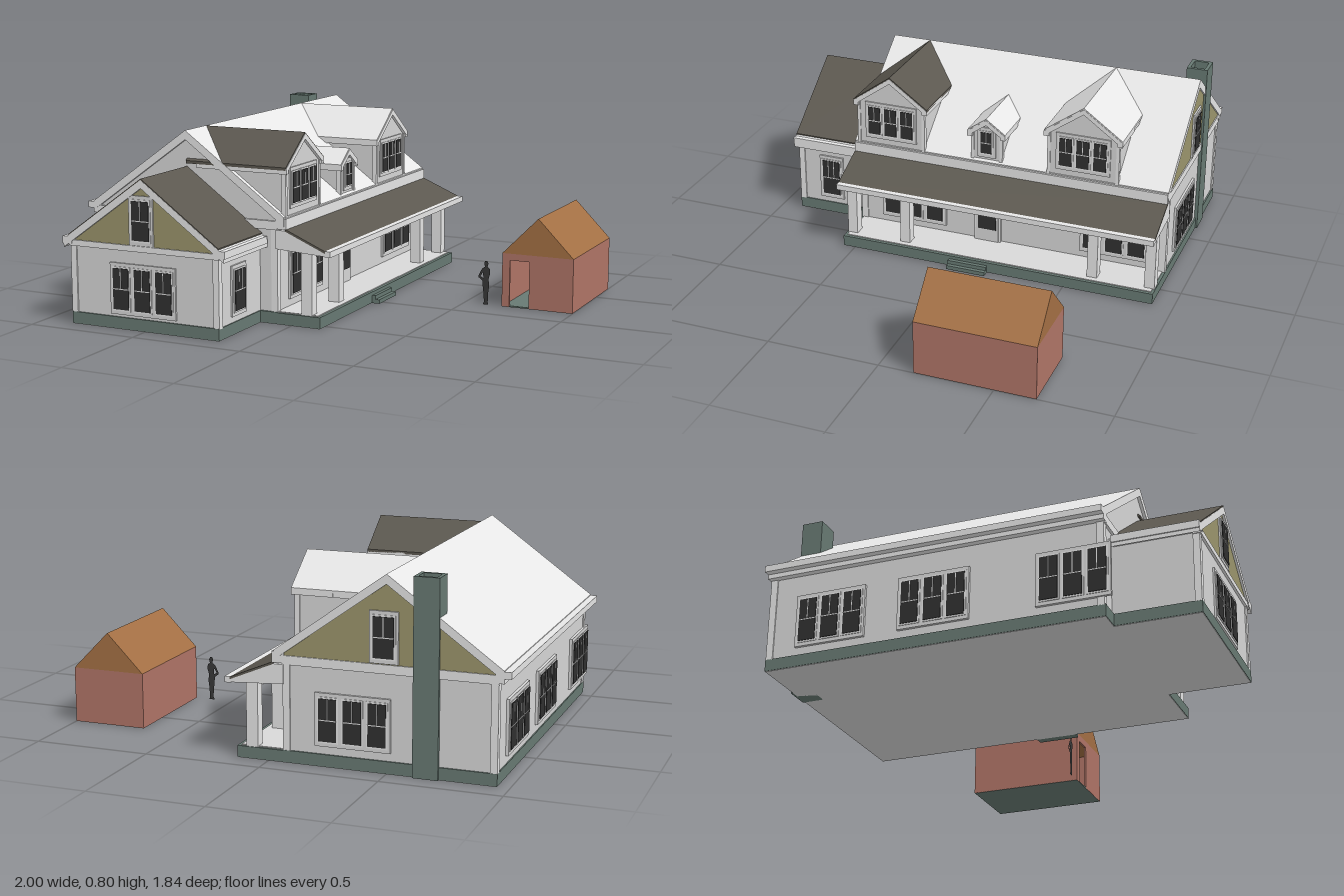
import * as THREE from 'three';

const mat = (name, color) => Object.assign(new THREE.MeshStandardMaterial({ color }), { name });
const M = {
  trim: mat('white trim', 0xe8e8e8),
  wall: mat('pale wall', 0xd8d8d8),
  dark: mat('dark shingle', 0x5c5850),
  stone: mat('green stone', 0x687a73),
  olive: mat('olive siding', 0x9c966d),
  glass: mat('dark glass', 0x303030),
  brick: mat('red brick', 0xb07567),
  brown: mat('brown roof', 0xa47044),
};
const figureMat = mat('figure grey', 0x383838);
figureMat.side = THREE.DoubleSide;
const SLOPE = 0.72;

function add(parent, name, geo, material) {
  const m = new THREE.Mesh(geo, material);
  m.name = name;
  parent.add(m);
  return m;
}
// box given by its min and max on each axis
function box(parent, name, material, x0, x1, y0, y1, z0, z1) {
  const m = add(parent, name, new THREE.BoxGeometry(x1 - x0, y1 - y0, z1 - z0), material);
  m.position.set((x0 + x1) / 2, (y0 + y1) / 2, (z0 + z1) / 2);
  return m;
}
const shapeOf = pts => new THREE.Shape(pts.map(p => new THREE.Vector2(p[0], p[1])));
// outline in x-y pushed from z0 to z1
function prism(parent, name, material, pts, z0, z1) {
  const shape = pts.isShape ? pts : shapeOf(pts);
  const geo = new THREE.ExtrudeGeometry(shape, { depth: z1 - z0, bevelEnabled: false });
  geo.translate(0, 0, z0);
  return add(parent, name, geo, material);
}
// gable roof shell with vertical thickness t
function chevron(parent, name, material, cx, ridge, half, t, z0, z1) {
  const e = ridge - half * SLOPE;
  return prism(parent, name, material, [[cx - half, e], [cx - half, e - t], [cx, ridge - t],
    [cx + half, e - t], [cx + half, e], [cx, ridge]], z0, z1);
}
// walls with a gable on top
function gableBody(parent, name, material, x0, x1, y0, ridge, cx, z0, z1) {
  prism(parent, name, material, [[x0, y0], [x1, y0], [x1, ridge - (x1 - cx) * SLOPE],
    [cx, ridge], [x0, ridge - (cx - x0) * SLOPE]], z0, z1);
}
// window of n sashes, facing +z before turning
function windowUnit(parent, name, n, w, h, pitch, x, y, z, turn = 0, bars = 1) {
  const g = new THREE.Group();
  g.name = name;
  g.position.set(x, y, z);
  g.rotation.y = turn;
  parent.add(g);
  const W = (n - 1) * pitch + w + 0.034;
  box(g, 'casing', M.wall, -W / 2, W / 2, -h / 2 - 0.022, h / 2 + 0.022, -0.005, 0.007);
  for (let i = 0; i < n; i++) {
    const c = (i - (n - 1) / 2) * pitch;
    box(g, 'sashFrame', M.trim, c - w / 2 - 0.007, c + w / 2 + 0.007, -h / 2 - 0.007, h / 2 + 0.007, 0, 0.010);
    box(g, 'pane', M.glass, c - w / 2, c + w / 2, -h / 2, h / 2, 0.005, 0.013);
    box(g, 'meetingRail', M.trim, c - w / 2, c + w / 2, -0.002, 0.002, 0.01, 0.015);
    for (let b = 1; b <= bars; b++) {
      const bx = c - w / 2 + w * b / (bars + 1);
      box(g, 'muntin', M.trim, bx - 0.0015, bx + 0.0015, 0, h / 2, 0.01, 0.015);
    }
  }
}

function mainHouse(root) {
  const g = new THREE.Group();
  g.name = 'mainHouse';
  root.add(g);
  box(g, 'foundation', M.stone, -0.95, -0.065, 0.002, 0.052, -0.907, 0.555);
  box(g, 'groundSlab', M.wall, -0.948, 0.133, 0, 0.004, -0.905, 0.553);
  gableBody(g, 'walls', M.wall, -0.945, -0.07, 0.05, 0.775, -0.5, -0.9, 0.545);
  chevron(g, 'roof', M.trim, -0.5, 0.8, 0.47, 0.04, -0.912, 0.558);
  // rear gable siding and band
  prism(g, 'rearGable', M.olive, [[-0.945, 0.44], [-0.055, 0.44], [-0.5, 0.762]], -0.905, -0.897);
  for (const [z0, z1] of [[-0.91, -0.89], [0.54, 0.556]])
    box(g, 'gableBand', M.trim, -0.95, -0.065, 0.405, 0.442, z0, z1);
  // eaves and gutters
  box(g, 'leftGutter', M.trim, -1, -0.965, 0.43, 0.458, -0.912, 0.558);
  box(g, 'leftSoffit', M.trim, -0.972, -0.935, 0.41, 0.45, -0.911, 0.557);
  box(g, 'rightFascia', M.trim, -0.072, -0.02, 0.41, 0.456, -0.911, 0.557);
  // corner boards
  for (const x of [-0.95, -0.095]) for (const z of [-0.906, 0.52])
    box(g, 'cornerBoard', M.trim, x, x + 0.03, 0.05, 0.42, z, z + 0.03);
  // windows
  for (const z of [-0.62, -0.165, 0.425])
    windowUnit(g, 'leftWindow', 3, 0.075, 0.185, 0.1, -0.95, 0.2, z, -Math.PI / 2);
  windowUnit(g, 'rearWindow', 3, 0.075, 0.175, 0.103, -0.36, 0.195, -0.903, Math.PI);
  windowUnit(g, 'rearGableWindow', 1, 0.085, 0.165, 0, -0.49, 0.55, -0.906, Math.PI);
  for (const z of [0.285, -0.67])
    windowUnit(g, 'porchWindow', 3, 0.075, 0.175, 0.103, -0.068, 0.195, z, Math.PI / 2);
  // front door
  box(g, 'doorFrame', M.trim, -0.075, -0.055, 0.05, 0.305, -0.14, -0.015);
  box(g, 'doorLeaf', M.wall, -0.06, -0.05, 0.055, 0.295, -0.13, -0.022);
  box(g, 'doorGlass', M.glass, -0.054, -0.046, 0.115, 0.29, -0.12, -0.035);
  // chimney with open top
  box(g, 'chimney', M.stone, -0.715, -0.61, 0, 0.76, -0.915, -0.82);
  box(g, 'flue', M.glass, -0.7, -0.625, 0.755, 0.765, -0.9, -0.835);
  for (const [x0, x1, z0, z1] of [[-0.715, -0.7, -0.915, -0.82], [-0.625, -0.61, -0.915, -0.82],
    [-0.7, -0.625, -0.915, -0.9], [-0.7, -0.625, -0.835, -0.82]])
    box(g, 'chimneyRim', M.stone, x0, x1, 0.76, 0.8, z0, z1);
}

function frontWing(root) {
  const g = new THREE.Group();
  g.name = 'frontWing';
  root.add(g);
  box(g, 'foundation', M.stone, -0.855, -0.145, 0.002, 0.052, 0.54, 0.907);
  box(g, 'groundSlab', M.wall, -0.853, -0.147, 0, 0.004, 0.54, 0.905);
  gableBody(g, 'walls', M.wall, -0.85, -0.15, 0.05, 0.62, -0.5, 0.54, 0.9);
  chevron(g, 'roof', M.dark, -0.5, 0.645, 0.36, 0.012, 0.54, 0.914);
  chevron(g, 'rake', M.trim, -0.5, 0.64, 0.385, 0.035, 0.54, 0.915);
  prism(g, 'gableSiding', M.olive, [[-0.845, 0.36], [-0.155, 0.36], [-0.5, 0.61]], 0.897, 0.905);
  box(g, 'gableBand', M.trim, -0.86, -0.14, 0.337, 0.362, 0.88, 0.911);
  for (const s of [-1, 1]) {
    const a = -0.5 + s * 0.345, b = -0.5 + s * 0.39;
    box(g, 'eave', M.trim, Math.min(a, b), Math.max(a, b), 0.345, 0.376, 0.555, 0.915);
    const c = -0.5 + s * 0.342;
    box(g, 'cornerBoard', M.trim, c - 0.014, c + 0.014, 0.05, 0.35, 0.878, 0.906);
  }
  windowUnit(g, 'frontWindow', 3, 0.075, 0.175, 0.103, -0.505, 0.173, 0.901);
  windowUnit(g, 'gableWindow', 1, 0.082, 0.165, 0, -0.505, 0.468, 0.905);
  windowUnit(g, 'sideWindow', 1, 0.085, 0.17, 0, -0.149, 0.185, 0.74, Math.PI / 2, 2);
}

function porch(root) {
  const g = new THREE.Group();
  g.name = 'porch';
  root.add(g);
  box(g, 'porchBase', M.stone, -0.08, 0.135, 0.002, 0.05, -0.907, 0.555);
  box(g, 'deck', M.wall, -0.07, 0.12, 0.045, 0.054, -0.895, 0.543);
  box(g, 'upperStep', M.stone, 0.13, 0.152, 0, 0.035, -0.145, 0.035);
  box(g, 'lowerStep', M.stone, 0.13, 0.17, 0, 0.018, -0.145, 0.035);
  // roof: white body with dark shingles and a gutter
  prism(g, 'roofBody', M.trim, [[-0.07, 0.325], [0.16, 0.312], [0.16, 0.327], [-0.025, 0.405], [-0.07, 0.405]], -0.911, 0.557);
  prism(g, 'shingles', M.dark, [[-0.025, 0.403], [0.162, 0.324], [0.162, 0.334], [-0.025, 0.413]], -0.912, 0.558);
  box(g, 'gutter', M.trim, 0.158, 0.185, 0.31, 0.335, -0.912, 0.558);
  box(g, 'beam', M.trim, 0.048, 0.092, 0.295, 0.33, -0.9, 0.55);
  for (const z of [0.525, 0.265, -0.62, -0.88])
    box(g, 'post', M.trim, 0.045, 0.095, 0.05, 0.32, z - 0.023, z + 0.023);
}

// dormer modelled facing +z, then turned to face +x
function dormer(root, name, zc, ridge, half, frontX, roofMat, n) {
  const g = new THREE.Group();
  g.name = name;
  g.position.z = zc;
  g.rotation.y = Math.PI / 2;
  root.add(g);
  const back = -0.5 + (0.8 - ridge) / SLOPE, hw = half - 0.022, eave = ridge - half * SLOPE;
  gableBody(g, 'walls', M.wall, -hw, hw, 0.43, ridge - 0.02, 0, back + 0.05, frontX - 0.012);
  chevron(g, 'roof', roofMat, 0, ridge, half, 0.012, back, frontX);
  chevron(g, 'rake', M.trim, 0, ridge - 0.006, half - 0.002, 0.024, back + 0.05, frontX + 0.002);
  for (const s of [-1, 1]) {
    box(g, 'eaveReturn', M.trim, s * (half - 0.012) - 0.012, s * (half - 0.012) + 0.012,
      eave - 0.028, eave - 0.004, -0.2, frontX + 0.001);
    box(g, 'cornerBoard', M.trim, s * hw - 0.007, s * hw + 0.007, 0.44, eave, frontX - 0.03, frontX - 0.008);
  }
  if (n === 3) windowUnit(g, 'window', 3, 0.057, 0.13, 0.078, 0, 0.577, frontX - 0.013);
  else windowUnit(g, 'window', 1, 0.05, 0.1, 0, 0, 0.553, frontX - 0.013);
}

function shed(root) {
  const g = new THREE.Group();
  g.name = 'shed';
  root.add(g);
  const x0 = 0.675, x1 = 1, z0 = -0.68, z1 = -0.155, t = 0.01;
  box(g, 'floor', M.stone, x0 + 0.001, x1 - 0.001, 0, 0.006, z0 + 0.001, z1 - 0.001);
  box(g, 'leftWall', M.brick, x1 - t, x1, 0.001, 0.24, z0, z1);
  box(g, 'rightWall', M.brick, x0, x0 + t, 0.001, 0.24, z0, z1);
  box(g, 'rearWall', M.brick, x0 + t, x1 - t, 0.001, 0.24, z0, z0 + t);
  // front wall around the open doorway
  prism(g, 'frontWall', M.brick, [[x0 + t, 0.001], [0.71, 0.001], [0.71, 0.21], [0.8, 0.21],
    [0.8, 0.001], [x1 - t, 0.001], [x1 - t, 0.24], [x0 + t, 0.24]], z1 - t, z1);
  prism(g, 'roof', M.brown, [[x0, 0.24], [x1, 0.24], [(x0 + x1) / 2, 0.405]], z0, z1);
}

// flat standing cut-out with one hand on the hip
function figure(root) {
  const s = shapeOf([[-0.012, 0], [0.014, 0], [0.012, 0.012], [0.013, 0.05], [0.018, 0.09], [0.014, 0.115],
    [0.021, 0.14], [0.02, 0.162], [0.009, 0.17], [0.013, 0.185], [0.008, 0.197], [-0.002, 0.197], [-0.007, 0.187],
    [-0.003, 0.17], [-0.016, 0.162], [-0.033, 0.128], [-0.032, 0.12], [-0.014, 0.106], [-0.013, 0.085],
    [-0.008, 0.045], [-0.006, 0.012]]);
  s.holes.push(new THREE.Path([[-0.024, 0.126], [-0.012, 0.146], [-0.01, 0.118]].map(p => new THREE.Vector2(...p))));
  const m = add(root, 'standingFigure', new THREE.ShapeGeometry(s), figureMat);
  m.position.set(0.597, 0, -0.157);
}

export function createModel() {
  const root = new THREE.Group();
  root.name = 'houseAndShed';
  mainHouse(root);
  frontWing(root);
  porch(root);
  dormer(root, 'frontDormer', 0.379, 0.799, 0.178, -0.02, M.dark, 3);
  dormer(root, 'rearDormer', -0.525, 0.799, 0.178, -0.02, M.trim, 3);
  dormer(root, 'smallDormer', -0.077, 0.67, 0.089, -0.03, M.trim, 1);
  shed(root);
  figure(root);
  return root;
}
